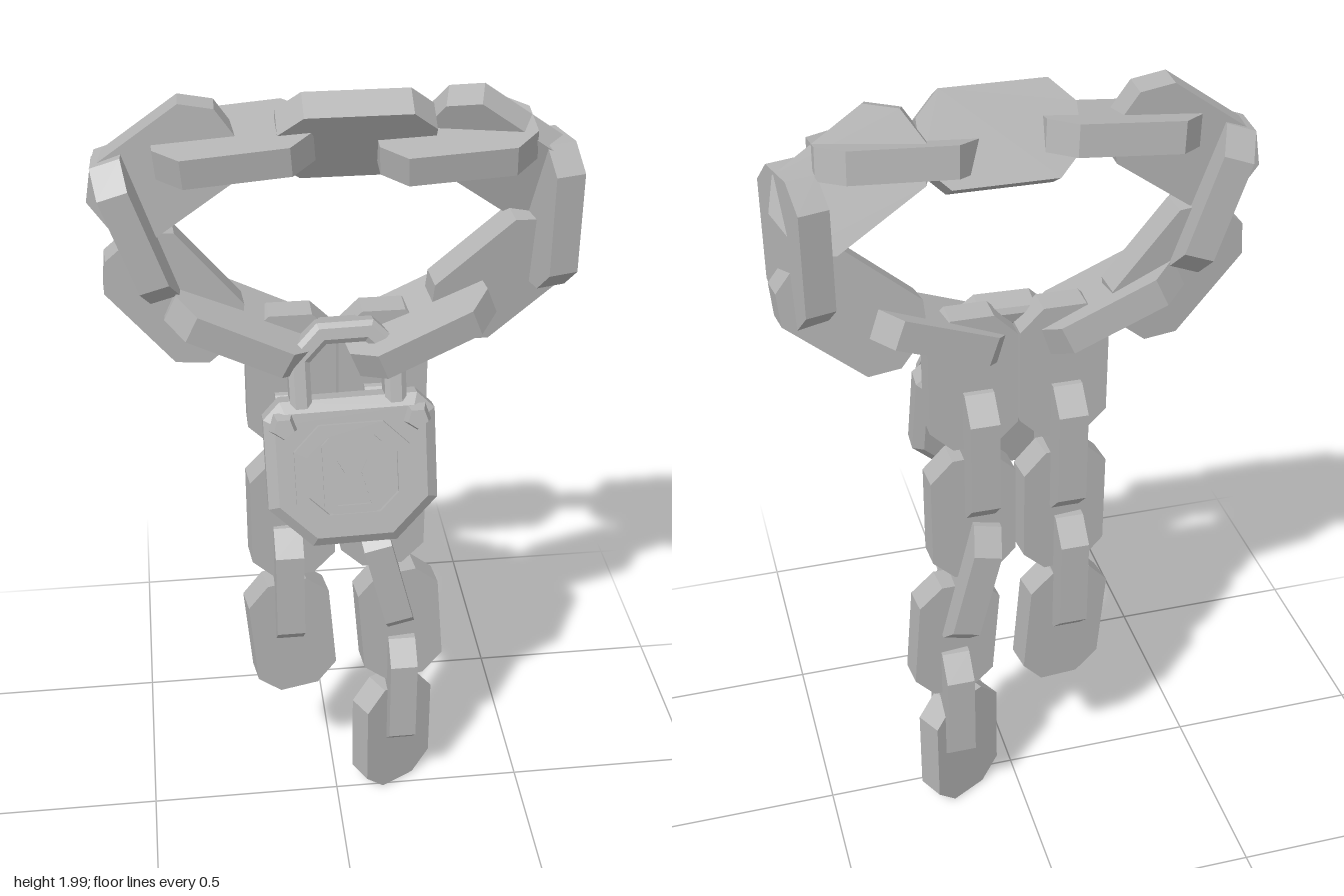
import * as THREE from 'three';

const metal = new THREE.MeshStandardMaterial({ color: 0xb4b4b4 });
metal.name = 'grey metal';

// Closed shape from corner points
const outline = (pts) => new THREE.Shape(pts.map(([x, y]) => new THREE.Vector2(x, y)));

// Rectangle with cut corners: top cut ct, bottom cut cb
const cutRect = (w, h, ct, cb = ct) => {
  const x = w / 2, y = h / 2;
  return [[-x + cb, -y], [x - cb, -y], [x, -y + cb], [x, y - ct],
    [x - ct, y], [-x + ct, y], [-x, y - ct], [-x, -y + cb]];
};

const slab = (shape, depth, bevel = 0) => new THREE.ExtrudeGeometry(shape, {
  depth, bevelEnabled: bevel > 0, bevelSize: bevel, bevelOffset: -bevel,
  bevelThickness: bevel * 0.8, bevelSegments: 1,
});

function part(parent, name, geometry, x = 0, y = 0, z = 0) {
  const mesh = new THREE.Mesh(geometry, metal);
  mesh.name = name;
  mesh.position.set(x, y, z);
  parent.add(mesh);
  return mesh;
}

const linkGeometry = slab(outline(cutRect(0.21, 0.345, 0.055)), 0.07).translate(0, 0, -0.035);

// Link placed by centre, long direction and face normal
function addLink(parent, name, centre, along, normal) {
  const d = new THREE.Vector3(...along).normalize();
  const w = d.clone().cross(new THREE.Vector3(...normal)).normalize();
  const n = w.clone().cross(d);
  const mesh = part(parent, name, linkGeometry, ...centre);
  mesh.quaternion.setFromRotationMatrix(new THREE.Matrix4().makeBasis(w, d, n));
}

function buildLoop() {
  const loop = new THREE.Group();
  loop.name = 'chainLoop';
  [
    [[0.045, 1.885, -0.05], [1, 0, 0], [0, -0.52, 0.85]],
    [[0.265, 1.865, -0.04], [1, 0.06, 0], [0, 1, 0.2]],
    [[0.36, 1.83, -0.06], [0.82, -0.57, 0], [-0.2, -0.35, 0.9]],
    [[0.48, 1.69, -0.05], [0, 1, 0], [0.96, 0, -0.25]],
    [[0.38, 1.53, -0.06], [0.76, 0.65, 0], [0.1, -0.1, 1]],
    [[0.19, 1.435, -0.02], [0.93, 0.38, -0.1], [-0.38, 0.93, 0.12]],
    [[-0.215, 1.45, -0.03], [0.9, -0.42, 0.05], [0.42, 0.9, 0.12]],
    [[-0.365, 1.525, -0.05], [0.63, -0.77, 0], [0, 0.1, 1]],
    [[-0.435, 1.7, -0.05], [0.32, -0.95, 0], [0.95, 0.32, 0.1]],
    [[-0.37, 1.825, -0.05], [0.82, 0.57, 0], [0, 0.05, 1]],
    [[-0.22, 1.875, -0.05], [1, 0.08, 0], [0, 1, 0.15]],
  ].forEach(([c, d, n], i) => addLink(loop, `loopLink${i + 1}`, c, d, n));
  return loop;
}

// Hanging chain: rows of [x, y, sideways lean, turn about the upright axis]
function buildStrand(name, rows) {
  const strand = new THREE.Group();
  strand.name = name;
  rows.forEach(([x, y, lean, turn], i) => addLink(strand, `${name}Link${i + 1}`,
    [x, y, -0.045], [lean, 1, 0], [Math.sin(turn), 0, Math.cos(turn)]));
  return strand;
}

function buildPadlock() {
  const lock = new THREE.Group();
  lock.name = 'padlock';
  lock.position.set(0.023, 1.115, 0.09);
  lock.rotation.set(-0.25, 0, 0.02);

  part(lock, 'lockBody', slab(outline(cutRect(0.4, 0.36, 0.04, 0.1)), 0.045, 0.025), 0, 0, -0.022);

  // Angular shackle bar
  const arch = outline([[-0.135, 0.12], [-0.085, 0.12], [-0.085, 0.27], [-0.045, 0.31], [0.045, 0.31],
    [0.085, 0.27], [0.085, 0.12], [0.135, 0.12], [0.135, 0.29], [0.065, 0.36], [-0.065, 0.36], [-0.135, 0.29]]);
  part(lock, 'shackle', slab(arch, 0.055, 0.012), 0, 0, -0.028);

  // Raised frame around the face
  const frame = outline(cutRect(0.27, 0.25, 0.06));
  frame.holes.push(outline(cutRect(0.21, 0.19, 0.045)));
  part(lock, 'faceFrame', slab(frame, 0.014), 0, 0, 0.04);

  // Key plate with a keyhole opening
  const plate = outline(cutRect(0.14, 0.19, 0.02));
  plate.holes.push(outline([[-0.04, -0.075], [0.04, -0.075], [0.02, 0.005], [0.035, 0.035],
    [0.022, 0.07], [-0.022, 0.07], [-0.035, 0.035], [-0.02, 0.005]]));
  part(lock, 'keyPlate', slab(plate, 0.01), 0, 0, 0.04);

  // Five-sided studs at the upper corners
  for (const s of [-1, 1]) {
    const stud = new THREE.CylinderGeometry(0.025, 0.036, 0.03, 5).toNonIndexed();
    stud.computeVertexNormals();
    part(lock, s > 0 ? 'leftStud' : 'rightStud', stud.rotateX(Math.PI / 2), s * 0.155, 0.128, 0.05);
  }
  return lock;
}

export function createModel() {
  const model = new THREE.Group();
  model.name = 'chainWithPadlock';
  const side = Math.PI / 2;
  model.add(
    buildLoop(),
    buildStrand('rightStrand', [
      [-0.105, 1.3, 0, 0], [-0.11, 1.1, 0, side], [-0.11, 0.91, 0, 0.1],
      [-0.122, 0.72, 0, side], [-0.117, 0.54, -0.08, 0.15],
    ]),
    buildStrand('leftStrand', [
      [0.11, 1.3, 0, 0], [0.1, 1.11, 0, side], [0.115, 0.925, 0, 0.05],
      [0.125, 0.735, -0.25, side], [0.165, 0.55, -0.08, 0.1],
      [0.17, 0.345, 0, side], [0.155, 0.173, 0, 0.5],
    ]),
    buildPadlock(),
  );
  return model;
}
